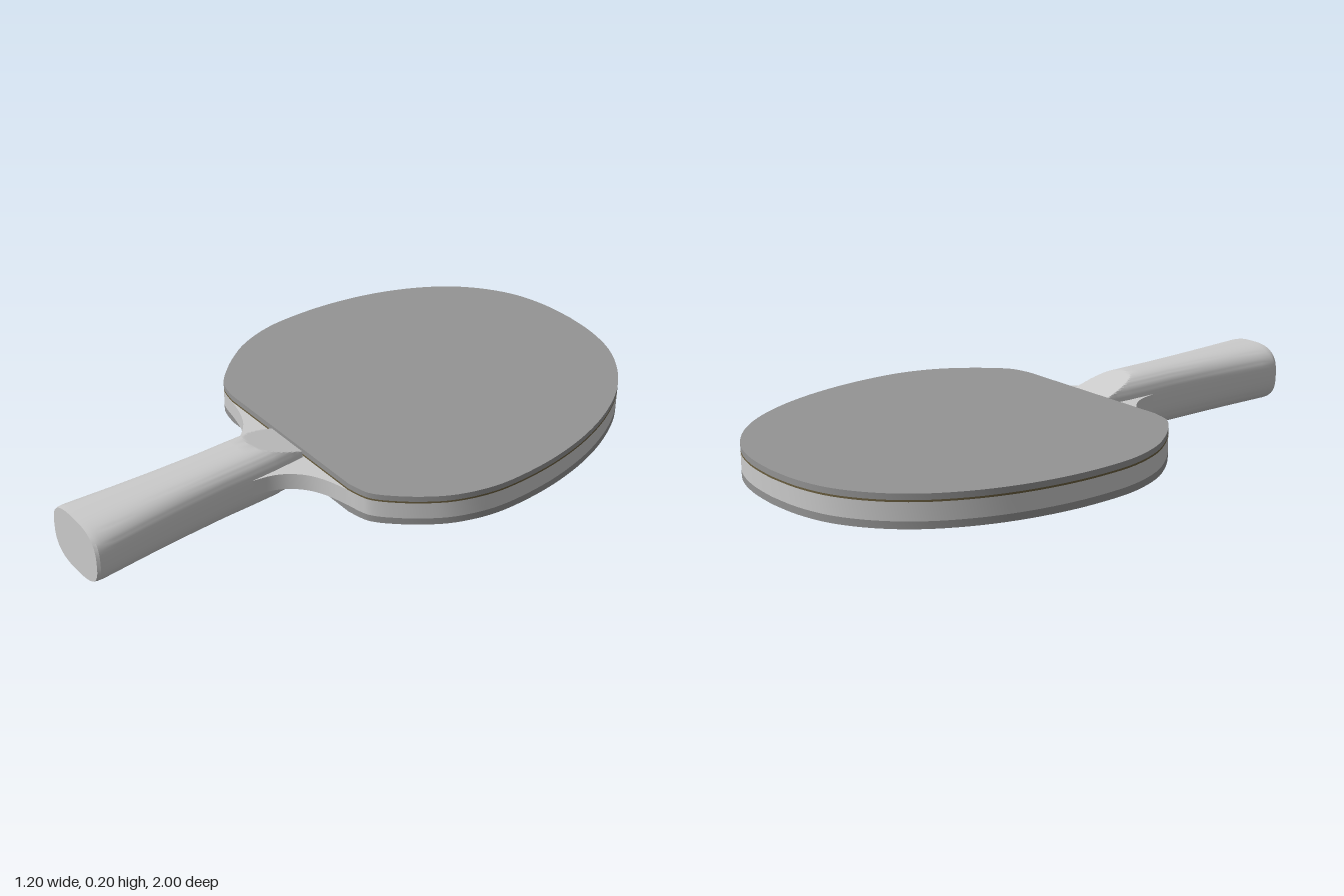
import * as THREE from 'three';
import { toCreasedNormals } from 'three/addons/utils/BufferGeometryUtils.js';

const grey = new THREE.MeshStandardMaterial({ color: 0xcccccc });
const rubberMat = new THREE.MeshStandardMaterial({ color: 0x949494 });
const spongeMat = new THREE.MeshStandardMaterial({ color: 0x6b5f40 });

// Right half of the head, [x, z] from the tip to the corner by the handle
const head = [[0, -1], [0.12, -0.99], [0.24, -0.955], [0.35, -0.885], [0.44, -0.79], [0.51, -0.67],
  [0.56, -0.535], [0.59, -0.39], [0.6, -0.25], [0.592, -0.12], [0.555, -0.0], [0.5, 0.09],
  [0.44, 0.16], [0.395, 0.2], [0.36, 0.215], [0.31, 0.225]];
// Curve of the neck from the head into the handle
const neck = [[0.31, 0.225], [0.235, 0.245], [0.175, 0.275], [0.13, 0.32], [0.105, 0.37], [0.093, 0.43]];

function smooth(points, n) {
  return new THREE.SplineCurve(points.map(([x, z]) => new THREE.Vector2(x, -z))).getPoints(n);
}

// Mirrored outline extruded upwards between two heights
function slab(name, half, y0, y1, material) {
  const mirrored = half.slice(1).reverse().map(p => new THREE.Vector2(-p.x, p.y));
  const shape = new THREE.Shape([...half, ...mirrored]);
  const geo = new THREE.ExtrudeGeometry(shape, { depth: y1 - y0, bevelEnabled: false });
  geo.rotateX(-Math.PI / 2);
  geo.translate(0, y0, 0);
  const mesh = new THREE.Mesh(toCreasedNormals(geo, 0.5), material);
  mesh.name = name;
  return mesh;
}

// Flared grip: superellipse sections, cut by sloping planes near the head
function handle() {
  const widths = [[0.23, 0.086], [0.33, 0.092], [0.42, 0.094], [0.52, 0.094], [0.68, 0.102],
    [0.82, 0.113], [0.93, 0.124], [0.975, 0.128], [0.99, 0.127], [1, 0.122]];
  const zs = [];
  for (let i = 0; i <= 20; i++) zs.push(0.23 + i * 0.0075);
  zs.push(...widths.slice(2).map(w => w[0]));
  const halfWidth = z => {
    let i = 0;
    while (i < widths.length - 2 && z > widths[i + 1][0]) i++;
    const [a, b] = [widths[i], widths[i + 1]];
    return THREE.MathUtils.mapLinear(z, a[0], b[0], a[1], b[1]);
  };
  const N = 64, pos = [], index = [];
  const power = v => Math.sign(v) * Math.abs(v) ** (2 / 2.8);
  for (const z of zs) {
    const limit = Math.min(0.1, 0.05 + (z - 0.23) / 3);
    for (let j = 0; j < N; j++) {
      const t = (j / N) * Math.PI * 2;
      const y = THREE.MathUtils.clamp(0.1 * power(Math.sin(t)), -limit, limit);
      pos.push(halfWidth(z) * power(Math.cos(t)), 0.1 + y, z);
    }
  }
  const last = (zs.length - 1) * N, c0 = pos.length / 3;
  pos.push(0, 0.1, zs[0], 0, 0.1, 1);
  for (let j = 0; j < N; j++) {
    const k = (j + 1) % N;
    for (let i = 0; i < last; i += N) {
      index.push(i + j, i + k, i + N + k, i + j, i + N + k, i + N + j);
    }
    index.push(c0, k, j, c0 + 1, last + j, last + k);
  }
  const geo = new THREE.BufferGeometry();
  geo.setAttribute('position', new THREE.Float32BufferAttribute(pos, 3));
  geo.setIndex(index);
  const mesh = new THREE.Mesh(toCreasedNormals(geo, 0.3), grey);
  mesh.name = 'handle';
  return mesh;
}

export function createModel() {
  const group = new THREE.Group();
  group.name = 'tableTennisBat';
  const headHalf = smooth(head, 60);
  const bladeHalf = [...headHalf, ...smooth(neck, 24).slice(1), new THREE.Vector2(0.08, -0.6), new THREE.Vector2(0, -0.6)];
  // The straight lower edge of the rubber ends on the centre line
  const rubberHalf = [...headHalf, new THREE.Vector2(0, -0.225)];
  group.add(
    slab('blade', bladeHalf, 0.073, 0.13, grey),
    slab('topSponge', rubberHalf, 0.13, 0.136, spongeMat),
    slab('topRubber', rubberHalf, 0.136, 0.155, rubberMat),
    slab('bottomRubber', rubberHalf, 0.05, 0.073, rubberMat),
    handle()
  );
  return group;
}
